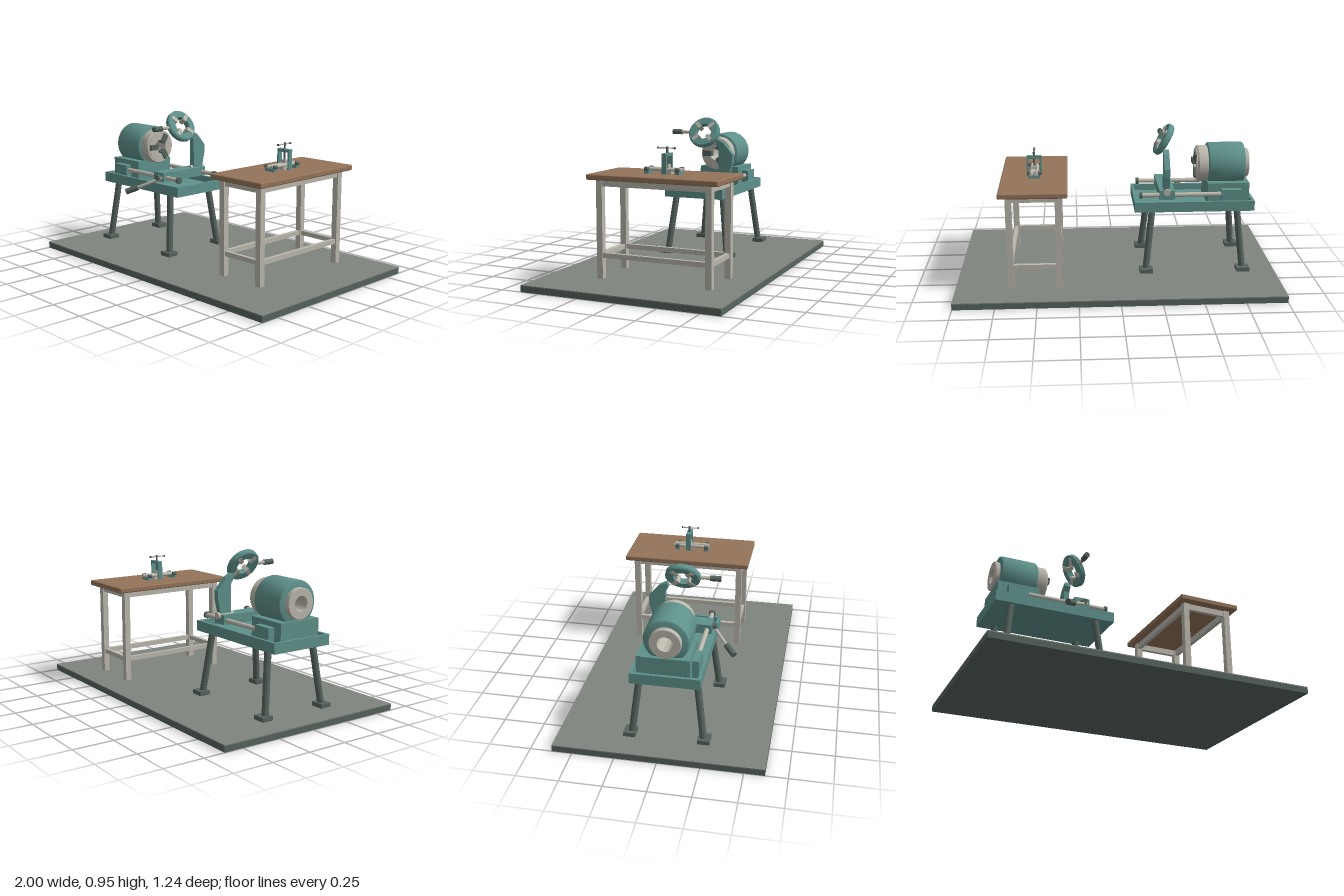
import * as THREE from 'three';
import { toCreasedNormals } from 'three/addons/utils/BufferGeometryUtils.js';
import { RoundedBoxGeometry } from 'three/addons/geometries/RoundedBoxGeometry.js';

const paint = (name, color) => {
  const m = new THREE.MeshStandardMaterial({ color });
  m.name = name;
  return m;
};

export function createModel() {
  const teal = paint('teal paint', 0x5f918b);
  const dark = paint('dark grey green', 0x56645e);
  const steel = paint('light steel', 0xbab7ac);
  const wood = paint('wood', 0x94745a);
  const concrete = paint('floor grey', 0x7f847e);
  const V = (x, y, z) => new THREE.Vector3(x, y, z);
  const model = new THREE.Group();

  const add = (parent, name, geo, mat) => {
    const m = new THREE.Mesh(geo, mat);
    m.name = name;
    parent.add(m);
    return m;
  };
  const group = (name) => {
    const g = new THREE.Group();
    g.name = name;
    model.add(g);
    return g;
  };
  // box given by its limits on each axis
  const box = (parent, name, mat, x0, x1, y0, y1, z0, z1) => {
    const m = add(parent, name, new THREE.BoxGeometry(x1 - x0, y1 - y0, z1 - z0), mat);
    m.position.set((x0 + x1) / 2, (y0 + y1) / 2, (z0 + z1) / 2);
    return m;
  };
  // round bar between two points
  const rod = (parent, name, mat, a, b, r, sides = 20) => {
    const d = b.clone().sub(a);
    const m = add(parent, name, new THREE.CylinderGeometry(r, r, d.length(), sides), mat);
    m.position.copy(a).addScaledVector(d, 0.5);
    m.quaternion.setFromUnitVectors(V(0, 1, 0), d.normalize());
    return m;
  };
  // turned part, profile as [radius, distance along axis]
  const turned = (parent, name, mat, pts) => add(parent, name, toCreasedNormals(
    new THREE.LatheGeometry(pts.map(p => new THREE.Vector2(...p)), 40), 0.5), mat);

  // floor slab
  const floor = group('floor');
  box(floor, 'floorSlab', dark, -1, 1, 0, 0.036, -0.62, 0.62);
  box(floor, 'floorSurface', concrete, -1, 1, 0.036, 0.042, -0.62, 0.62);

  // workbench
  const bench = group('workbench');
  add(bench, 'benchTop', new RoundedBoxGeometry(0.41, 0.034, 0.826, 3, 0.008), wood)
    .position.set(0.515, 0.649, -0.071);
  for (const x of [0.348, 0.642])
    for (const z of [-0.433, 0.26]) box(bench, 'benchLeg', steel, x, x + 0.038, 0.042, 0.633, z, z + 0.038);
  for (const [y0, y1, t] of [[0.593, 0.633, 0.024], [0.168, 0.197, 0.024]]) {
    for (const x of [0.367, 0.661]) box(bench, 'sideRail', steel, x - t / 2, x + t / 2, y0, y1, -0.396, 0.261);
    for (const z of [-0.414, 0.279]) box(bench, 'endRail', steel, 0.385, 0.643, y0, y1, z - t / 2, z + t / 2);
  }

  // pipe vise on the bench
  const vise = group('benchVise');
  for (const z of [-0.163, 0.034]) {
    box(vise, 'viseFoot', teal, 0.478, 0.55, 0.665, 0.684, z - 0.014, z + 0.014);
    for (const x of [0.482, 0.546]) rod(vise, 'viseKnob', dark, V(x, 0.693, z - 0.012), V(x, 0.693, z + 0.012), 0.012, 12);
  }
  for (const x of [0.497, 0.531]) rod(vise, 'viseBar', steel, V(x, 0.692, -0.185), V(x, 0.692, 0.05), 0.01, 14);
  box(vise, 'viseBed', steel, 0.49, 0.538, 0.666, 0.69, -0.12, -0.05);
  for (const x of [0.468, 0.55]) box(vise, 'visePost', teal, x, x + 0.011, 0.665, 0.785, -0.1, -0.07);
  box(vise, 'viseBridge', teal, 0.468, 0.561, 0.77, 0.787, -0.1, -0.07);
  box(vise, 'viseClamp', steel, 0.497, 0.531, 0.703, 0.722, -0.1, -0.07);
  rod(vise, 'viseScrew', dark, V(0.514, 0.715, -0.085), V(0.514, 0.826, -0.085), 0.006, 12);
  rod(vise, 'viseHandle', steel, V(0.514, 0.817, -0.135), V(0.514, 0.817, -0.025), 0.004, 10);
  for (const z of [-0.137, -0.029]) rod(vise, 'viseHandleKnob', dark, V(0.514, 0.817, z), V(0.514, 0.817, z + 0.007), 0.007, 10);

  // machine stand: splayed legs and open tray
  const stand = group('machineStand');
  for (const [xt, xb] of [[-0.757, -0.797], [-0.22, -0.18]])
    for (const s of [-1, 1]) {
      rod(stand, 'standLeg', dark, V(xt, 0.445, 0.025 + s * 0.165), V(xb, 0.06, 0.025 + s * 0.212), 0.021);
      box(stand, 'standFoot', dark, xb - 0.041, xb + 0.041, 0.042, 0.068, 0.022 + s * 0.22 - 0.036, 0.022 + s * 0.22 + 0.036);
    }
  box(stand, 'trayFloor', teal, -0.863, -0.108, 0.433, 0.457, -0.18, 0.228);
  for (const z of [-0.18, 0.21]) box(stand, 'traySide', teal, -0.863, -0.108, 0.457, 0.497, z, z + 0.018);
  for (const x of [-0.863, -0.126]) box(stand, 'trayEnd', teal, x, x + 0.018, 0.457, 0.497, -0.162, 0.21);

  // headstock: base, motor drum and chuck
  const head = group('headstock');
  box(head, 'headstockBase', teal, -0.837, -0.575, 0.457, 0.597, -0.115, 0.165);
  const spindle = new THREE.Group();
  spindle.name = 'spindle';
  spindle.position.set(0, 0.693, 0.025);
  spindle.rotation.z = -Math.PI / 2;
  head.add(spindle);
  turned(spindle, 'motorDrum', teal, [[0.05, -0.813], [0.121, -0.813], [0.129, -0.809], [0.133, -0.8],
    [0.133, -0.593], [0.129, -0.584], [0.121, -0.58], [0.05, -0.58]]);
  turned(spindle, 'rearCollar', steel, [[0.046, -0.7], [0.046, -0.843], [0.088, -0.843], [0.092, -0.839], [0.092, -0.81]]);
  turned(spindle, 'chuckBody', steel, [[0.112, -0.582], [0.113, -0.578], [0.113, -0.522], [0.107, -0.514],
    [0.096, -0.514], [0.096, -0.508], [0.046, -0.508], [0.046, -0.7]]);
  for (let i = 0; i < 3; i++) {
    const arm = new THREE.Group();
    arm.name = 'chuckJaw';
    arm.rotation.y = i * Math.PI * 2 / 3;
    spindle.add(arm);
    box(arm, 'jaw', dark, -0.018, 0.018, -0.535, -0.495, 0.031, 0.091);
  }

  // guide rails
  const rails = group('guideRails');
  for (const z of [-0.132, 0.18]) {
    box(rails, 'railBlock', teal, -0.78, -0.655, 0.457, 0.565, z - 0.026, z + 0.026);
    rod(rails, 'rail', steel, V(-0.66, 0.532, z), V(-0.15, 0.532, z), 0.014);
    rod(rails, 'railCollar', dark, V(-0.156, 0.532, z), V(-0.14, 0.532, z), 0.021);
  }

  // carriage with feed lever
  const carriage = group('carriage');
  box(carriage, 'saddle', teal, -0.36, -0.264, 0.507, 0.566, -0.157, 0.208);
  rod(carriage, 'crossShaft', steel, V(-0.31, 0.558, -0.175), V(-0.31, 0.558, -0.06), 0.021);
  rod(carriage, 'leverHub', dark, V(-0.305, 0.535, 0.2), V(-0.305, 0.535, 0.235), 0.018);
  rod(carriage, 'leverRod', steel, V(-0.28, 0.535, 0.2), V(-0.42, 0.46, 0.32), 0.01);
  rod(carriage, 'leverGrip', dark, V(-0.405, 0.468, 0.308), V(-0.462, 0.438, 0.362), 0.019);

  // bent arm that carries the die ring
  const profile = new THREE.Shape([[-0.08, 0.56], [-0.155, 0.56], [-0.178, 0.66], [-0.18, 0.71],
    [-0.115, 0.787], [-0.068, 0.81], [-0.06, 0.78], [-0.08, 0.75]].map(p => new THREE.Vector2(-p[0], p[1])));
  const arm = add(carriage, 'ringArm', new THREE.ExtrudeGeometry(profile, { depth: 0.036, bevelEnabled: false }), teal);
  arm.rotation.y = Math.PI / 2;
  arm.position.x = -0.326;

  // tilted die ring with four cutters and a handle
  const die = group('dieRing');
  die.position.set(-0.302, 0.852, 0.025);
  die.rotation.z = -Math.PI / 3;
  turned(die, 'ringBody', teal, [[0.056, -0.02], [0.098, -0.02], [0.106, -0.012], [0.106, 0.012],
    [0.098, 0.02], [0.056, 0.02], [0.056, -0.02]]);
  for (let i = 0; i < 4; i++) {
    const slot = new THREE.Group();
    slot.name = 'cutterSlot';
    slot.rotation.y = Math.PI / 4 + i * Math.PI / 2;
    die.add(slot);
    box(slot, 'cutter', steel, -0.013, 0.013, -0.024, 0.026, 0.04, 0.09);
  }
  rod(die, 'ringHandleRod', steel, V(0, 0, 0.1), V(0, 0, 0.17), 0.011);
  rod(die, 'ringHandleGrip', dark, V(0, 0, 0.163), V(0, 0, 0.229), 0.017);

  return model;
}
